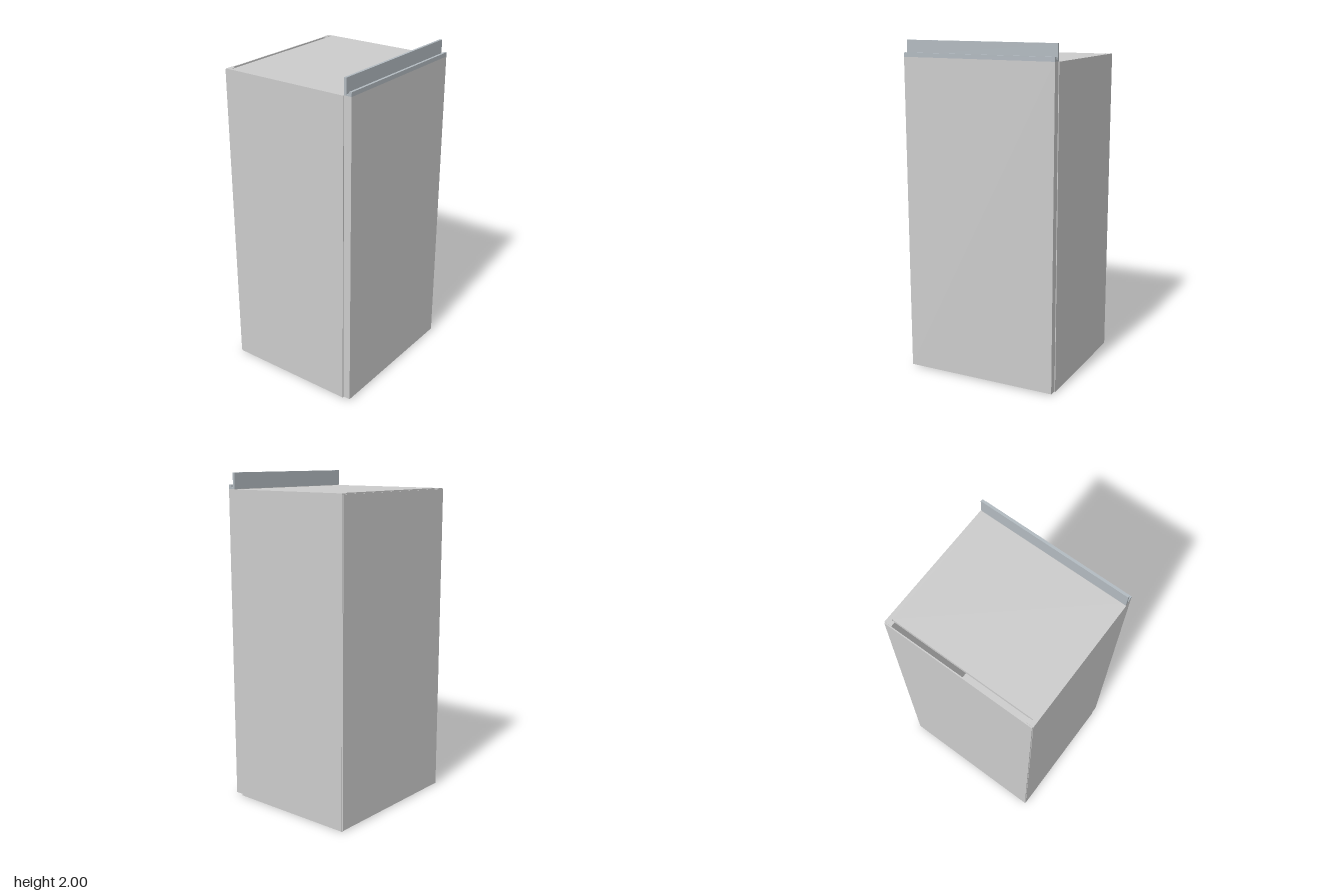
import * as THREE from 'three';

const grey = new THREE.MeshStandardMaterial({ color: 0xcccccc });
const metal = new THREE.MeshStandardMaterial({ color: 0xb2bac0 });

// Box given by its lower and upper limits on each axis
function panel(name, [x0, x1], [y0, y1], [z0, z1]) {
  const mesh = new THREE.Mesh(new THREE.BoxGeometry(x1 - x0, y1 - y0, z1 - z0), grey);
  mesh.position.set((x0 + x1) / 2, (y0 + y1) / 2, (z0 + z1) / 2);
  mesh.name = name;
  return mesh;
}

export function createModel() {
  const group = new THREE.Group();
  group.name = 'cabinet';
  const H = 1.903, T = 0.025, W = 0.475, inner = W - T;
  const front = 0.387, back = -0.43;

  // Side walls with a cleat in each back corner
  for (const s of [-1, 1]) {
    const side = s < 0 ? 'right' : 'left';
    const span = (a, b) => (s > 0 ? [a, b] : [-b, -a]);
    group.add(panel(side + 'Wall', span(inner, W), [0, H], [back, front]));
    group.add(panel(side + 'Cleat', span(0.43, inner), [0, H], [back, -0.402]));
  }

  // Top and bottom stop short of the back, leaving a ventilation slot
  group.add(panel('bottom', [-inner, inner], [0, T], [-0.397, front]));
  group.add(panel('top', [-inner, inner], [H - T, H], [-0.397, front]));

  // Back panel and door, slightly smaller than the carcass
  group.add(panel('backPanel', [-0.472, 0.472], [0.006, 1.898], [-0.437, back]));
  group.add(panel('door', [-0.472, 0.472], [0.008, 1.905], [0.39, 0.437]));

  // Grip rail along the top of the door: low front lip, sloped trough, tall rear plate (z, y)
  const profile = new THREE.Shape([
    [0.388, 1.905], [0.437, 1.905], [0.437, 1.93], [0.422, 1.93],
    [0.418, 1.916], [0.403, 1.912], [0.403, 2], [0.388, 2],
  ].map(([z, y]) => new THREE.Vector2(-z, y)));
  const geometry = new THREE.ExtrudeGeometry(profile, { depth: 0.944, bevelEnabled: false });
  geometry.translate(0, 0, -0.472).rotateY(Math.PI / 2);
  const rail = new THREE.Mesh(geometry, metal);
  rail.name = 'gripRail';
  group.add(rail);

  return group;
}
